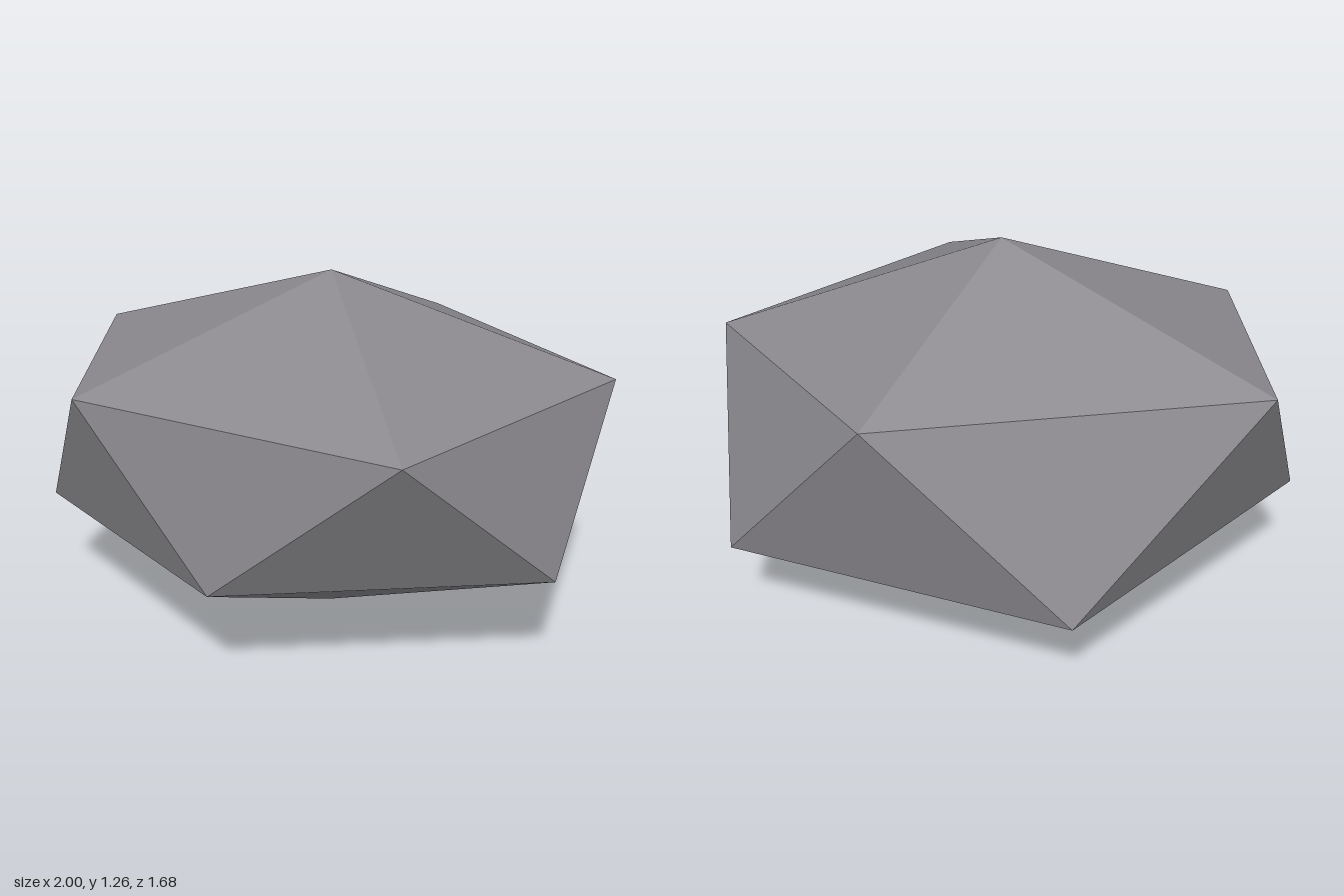
import * as THREE from 'three';

export function createModel() {
  const group = new THREE.Group();
  group.name = 'rock';

  const stoneGrey = new THREE.MeshStandardMaterial({ color: 0x8a888d, flatShading: true });
  stoneGrey.name = 'stoneGrey';

  // Two staggered rings of five corners between a top and a bottom point
  const top = [0.03, 1.26, -0.02];
  const bottom = [0.03, 0, -0.02];
  const upper = [
    [1.0, 0.91, -0.02], [0.33, 0.91, 0.84], [-0.76, 0.92, 0.42],
    [-0.86, 0.94, -0.48], [0.37, 0.935, -0.8],
  ];
  const lower = [
    [0.81, 0.385, 0.47], [-0.28, 0.38, 0.69], [-1.0, 0.38, -0.02],
    [-0.27, 0.305, -0.845], [0.9, 0.305, -0.51],
  ];

  // Cap, zigzag belt and base facets
  const positions = [];
  const facet = (a, b, c) => positions.push(...a, ...b, ...c);
  for (let i = 0; i < 5; i++) {
    const j = (i + 1) % 5;
    facet(top, upper[j], upper[i]);
    facet(upper[i], upper[j], lower[i]);
    facet(lower[i], upper[j], lower[j]);
    facet(bottom, lower[i], lower[j]);
  }

  const geometry = new THREE.BufferGeometry();
  geometry.setAttribute('position', new THREE.Float32BufferAttribute(positions, 3));
  geometry.computeVertexNormals();

  const stone = new THREE.Mesh(geometry, stoneGrey);
  stone.name = 'stone';
  group.add(stone);
  return group;
}
